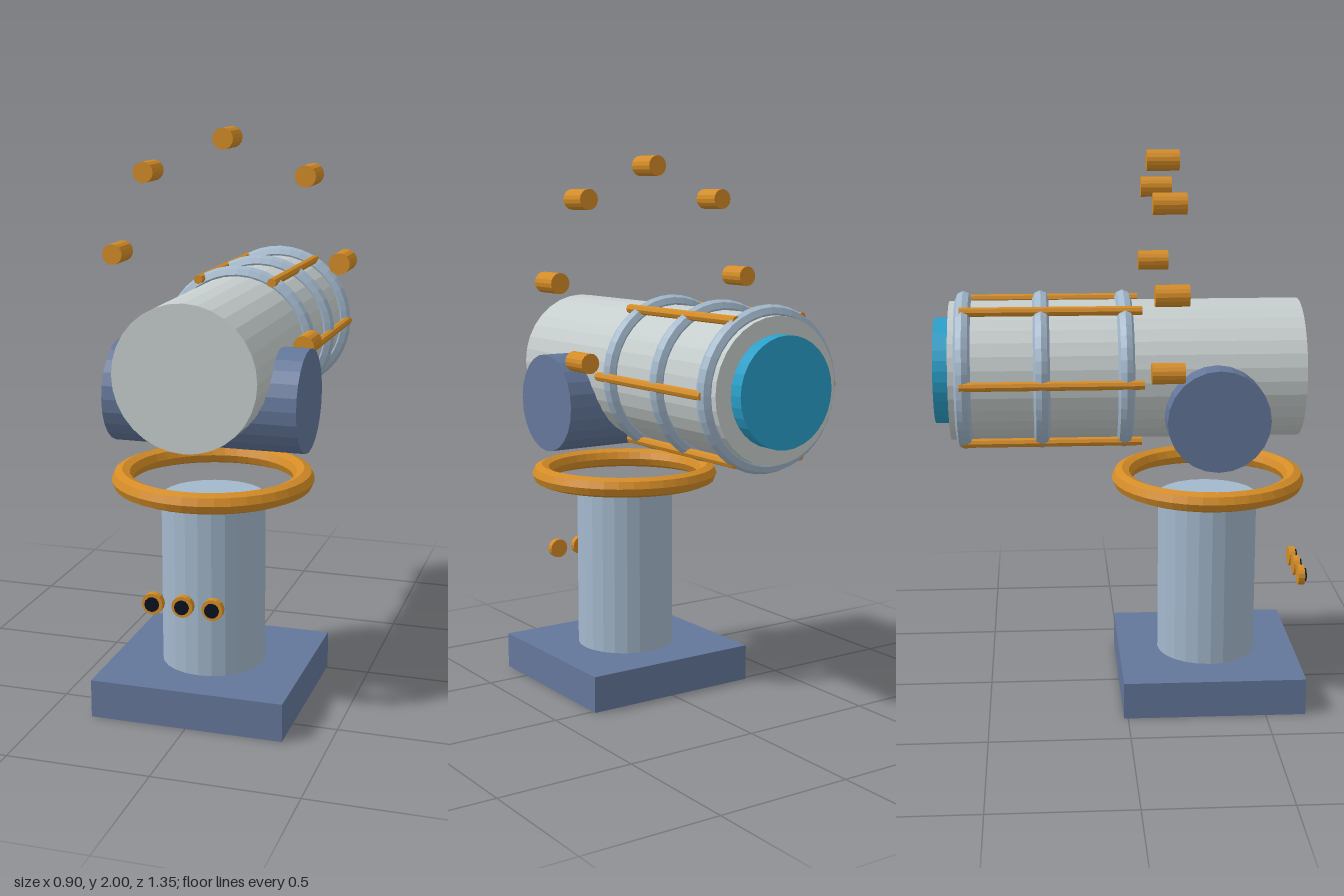
import * as THREE from 'three';

const mat = (name, color) => {
  const m = new THREE.MeshStandardMaterial({ color, flatShading: true });
  m.name = name;
  return m;
};

export function createModel() {
  const slate = mat('dark slate blue', 0x64779a);
  const steel = mat('light steel blue', 0xa3b8cc);
  const shell = mat('pale grey', 0xc6cecd);
  const brass = mat('brass orange', 0xd48c26);
  const glass = mat('cyan glass', 0x2a9fc9);
  const ink = mat('near black', 0x0b1020);

  const model = new THREE.Group();
  model.name = 'telescope';
  const pivotZ = 0.315; // pedestal axis
  const barrelY = 1.22; // barrel axis

  const add = (name, geometry, material, x, y, z, parent = model) => {
    const mesh = new THREE.Mesh(geometry, material);
    mesh.name = name;
    mesh.position.set(x, y, z);
    parent.add(mesh);
    return mesh;
  };
  const group = (name) => {
    const g = new THREE.Group();
    g.name = name;
    model.add(g);
    return g;
  };
  // Cylinder lying along z between z0 and z1
  const zCylinder = (name, r, z0, z1, sides, material, x, y, parent) =>
    add(name, new THREE.CylinderGeometry(r, r, z1 - z0, sides).rotateX(Math.PI / 2),
      material, x, y, (z0 + z1) / 2, parent);

  // Pedestal
  add('base', new THREE.BoxGeometry(0.685, 0.135, 0.66), slate, 0, 0.0675, pivotZ);
  add('column', new THREE.CylinderGeometry(0.183, 0.183, 0.605, 24), steel, 0, 0.4375, pivotZ);
  add('turntableRing', new THREE.TorusGeometry(0.318, 0.037, 8, 40).rotateX(Math.PI / 2),
    brass, 0, 0.805, pivotZ);

  // Tilting cross cylinder under the barrel
  add('trunnion', new THREE.CylinderGeometry(0.18, 0.18, 0.685, 24).rotateZ(Math.PI / 2),
    slate, 0, 1.1, pivotZ);

  // Barrel and lens
  zCylinder('barrel', 0.25, -0.62, 0.633, 32, shell, 0, barrelY);
  zCylinder('lens', 0.19, -0.675, -0.622, 32, glass, 0, barrelY);

  // Cage of hoops and lengthwise rods
  const cage = group('cage');
  for (const z of [0, -0.295, -0.57]) {
    add('hoop', new THREE.TorusGeometry(0.256, 0.029, 8, 40), steel, 0, barrelY, z, cage);
  }
  for (let i = 0; i < 6; i++) {
    const a = (i * Math.PI) / 3;
    zCylinder('rod', 0.0165, -0.58, 0.06, 8, brass,
      0.273 * Math.cos(a), barrelY + 0.273 * Math.sin(a), cage);
  }

  // Circle of floating pegs
  const pegs = group('pegCircle');
  for (let i = 0; i < 8; i++) {
    const a = (i * Math.PI) / 4;
    zCylinder('peg', 0.037, 0.083, 0.198, 16, brass,
      0.411 * Math.cos(a), 1.554 + 0.411 * Math.sin(a), pegs);
  }

  // Row of control knobs
  const knobs = group('knobs');
  for (const x of [-0.105, 0, 0.105]) {
    zCylinder('knobBezel', 0.037, 0.643, 0.667, 16, brass, x, 0.45, knobs);
    zCylinder('knobFace', 0.025, 0.667, 0.675, 12, ink, x, 0.45, knobs);
  }

  return model;
}
